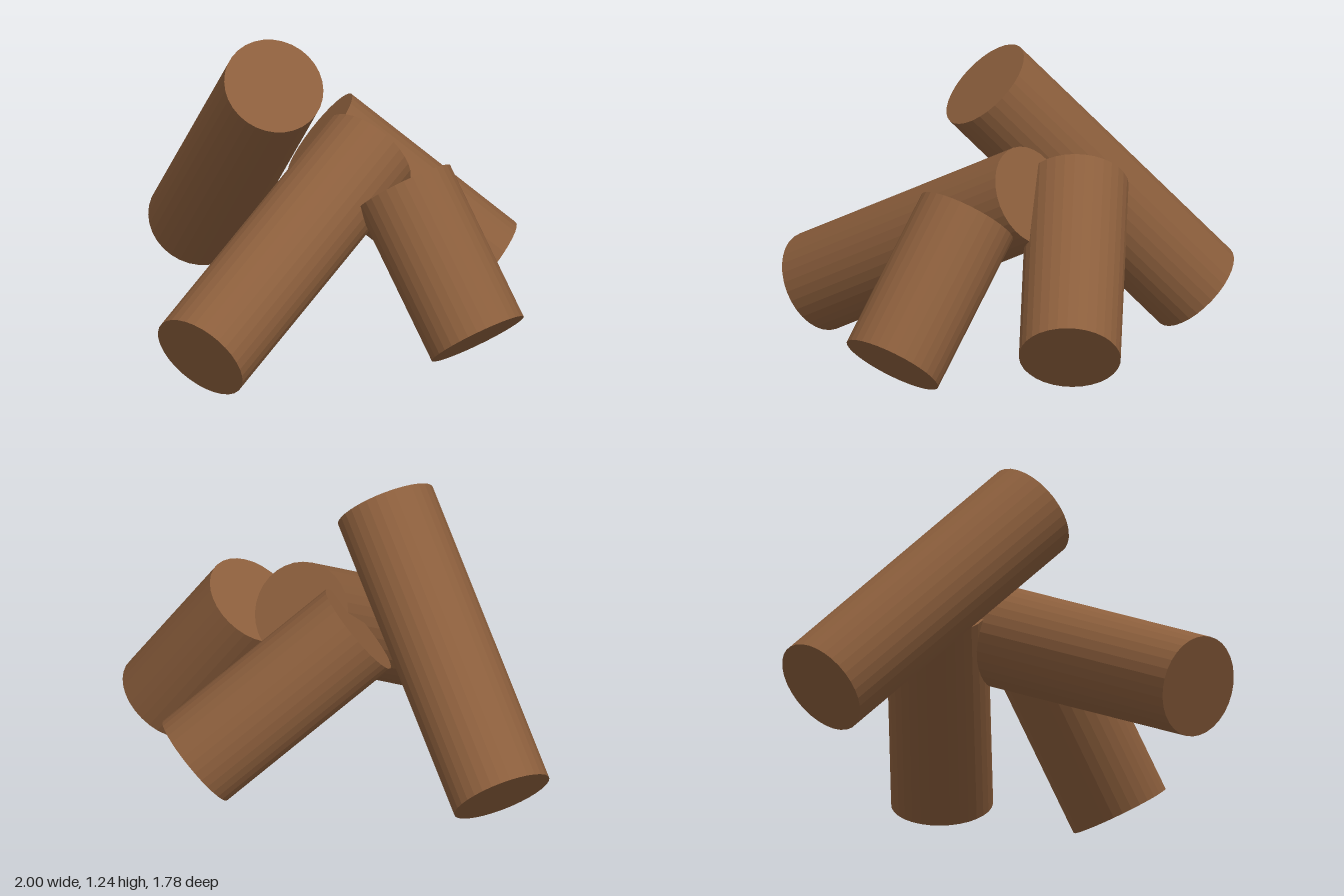
import * as THREE from 'three';

const RADIUS = 0.207;
const UP = new THREE.Vector3(0, 1, 0);

// A straight log running between the centres of its two cut ends
function makeLog(name, bottom, top, material) {
  const a = new THREE.Vector3(...bottom);
  const b = new THREE.Vector3(...top);
  const axis = b.clone().sub(a);
  const log = new THREE.Mesh(new THREE.CylinderGeometry(RADIUS, RADIUS, axis.length(), 32), material);
  log.name = name;
  log.position.copy(a).add(b).multiplyScalar(0.5);
  log.quaternion.setFromUnitVectors(UP, axis.normalize());
  return log;
}

export function createModel() {
  const group = new THREE.Group();
  group.name = 'logPile';
  const wood = new THREE.MeshStandardMaterial({ color: 0x8b5e3c, flatShading: true });

  // Four logs leaning together: foot centre, then top centre
  const logs = [
    ['frontLog', [0.13, 0.19, 0.798], [0.13, 0.738, -0.293]],
    ['rightLog', [-0.833, 0.158, -0.39], [-0.057, 1.1, 0.087]],
    ['leftLog', [0.833, 0.153, -0.124], [0.407, 0.69, -0.179]],
    ['backLog', [0.405, 0.187, -0.702], [-0.143, 0.733, -0.32]],
  ];
  for (const [name, bottom, top] of logs) group.add(makeLog(name, bottom, top, wood));
  return group;
}
